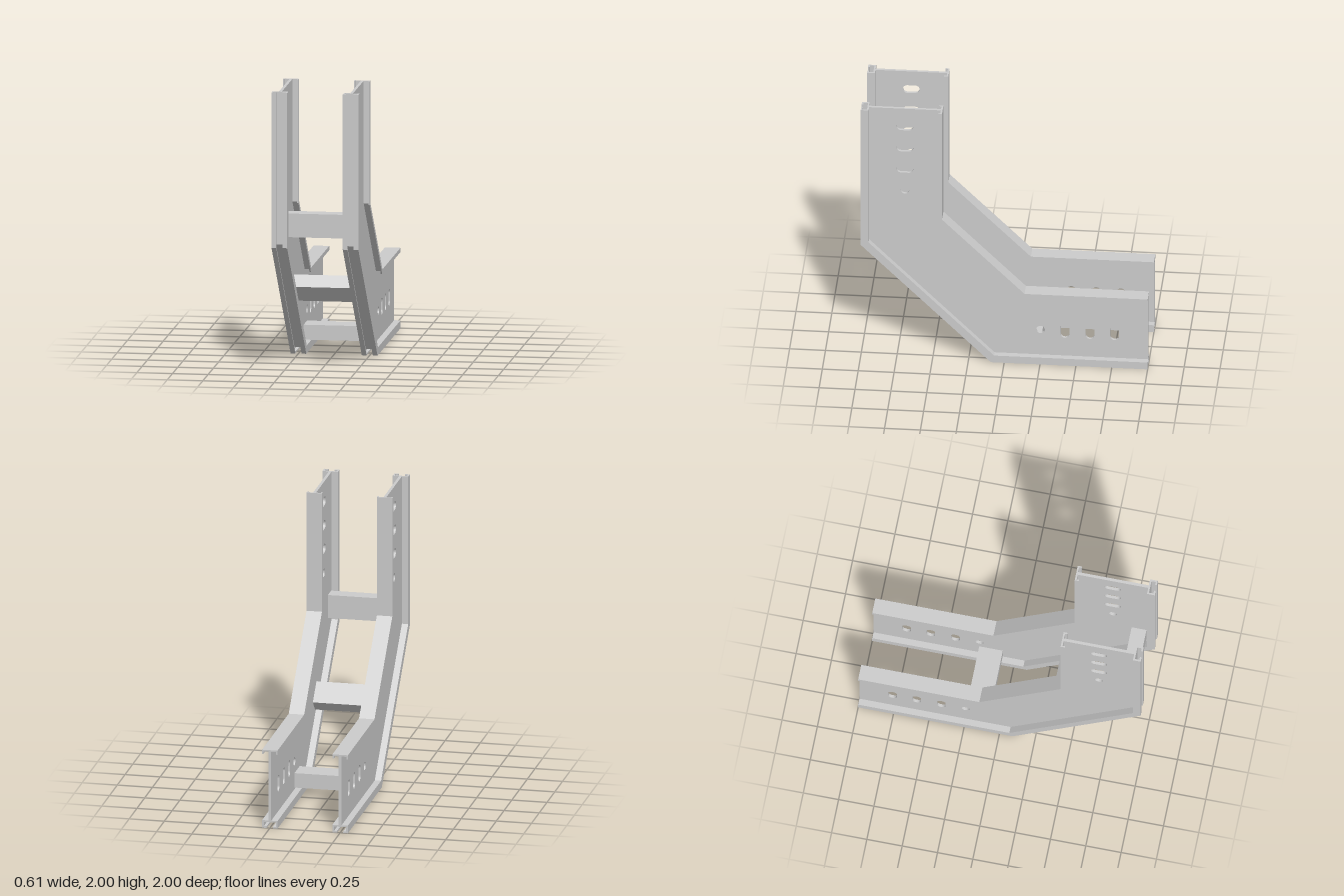
import * as THREE from 'three';

const H = 0.567; // rail depth, measured from the outer edge of the bend
// Mitre stations along the bend: outer [z, y] and inner [z, y]
const STATIONS = [
  [[1, 2], [0.433, 2]],
  [[1, 0.905], [0.433, 1.14]],
  [[0.093, 0], [-0.142, H]],
  [[-1, 0], [-1, H]],
];
const at = (i, d) => STATIONS[i][0].map((v, k) => v + (STATIONS[i][1][k] - v) * d / H);

const material = new THREE.MeshStandardMaterial({ color: 0xcccccc, flatShading: true });

function add(parent, geometry, name) {
  const mesh = new THREE.Mesh(geometry, material);
  mesh.name = name;
  parent.add(mesh);
  return mesh;
}

// Sweep a closed counter-clockwise section of [x, depth] points round the mitred bend
function sweep(section) {
  const pos = [];
  const put = (i, p) => {
    const [z, y] = at(i, p[1]);
    pos.push(p[0], y, z);
  };
  for (let i = 0; i < STATIONS.length - 1; i++) {
    section.forEach((a, k) => {
      const b = section[(k + 1) % section.length];
      put(i, a); put(i + 1, a); put(i, b);
      put(i, b); put(i + 1, a); put(i + 1, b);
    });
  }
  const pts = section.map(p => new THREE.Vector2(...p));
  for (const [a, b, c] of THREE.ShapeUtils.triangulateShape(pts, [])) {
    [a, b, c].forEach(k => put(0, section[k]));
    [a, c, b].forEach(k => put(STATIONS.length - 1, section[k]));
  }
  const g = new THREE.BufferGeometry();
  g.setAttribute('position', new THREE.Float32BufferAttribute(pos, 3));
  g.computeVertexNormals();
  return g;
}

// Rounded slot (round when len = 0) centred on z, y
function slot(z, y, r, len, vertical) {
  const path = new THREE.Path();
  const h = len / 2, q = Math.PI / 2;
  if (len === 0) path.absarc(-z, y, r, 0, Math.PI * 2);
  else if (vertical) {
    path.absarc(-z, y + h, r, 0, 2 * q);
    path.absarc(-z, y - h, r, 2 * q, 4 * q);
  } else {
    path.absarc(-z + h, y, r, -q, q);
    path.absarc(-z - h, y, r, q, 3 * q);
  }
  return path;
}

// Upright plate with joint holes at both ends
function webGeometry() {
  const outline = [0, 1, 2, 3].map(i => at(i, 0.046))
    .concat([3, 2, 1, 0].map(i => at(i, H - 0.006)));
  const shape = new THREE.Shape(outline.map(([z, y]) => new THREE.Vector2(-z, y)));
  shape.holes.push(slot(-0.25, 0.257, 0.03, 0), slot(0.695, 1.34, 0.03, 0));
  for (const z of [-0.42, -0.594, -0.766]) shape.holes.push(slot(z, 0.257, 0.031, 0.055, true));
  for (const y of [1.512, 1.684, 1.856]) shape.holes.push(slot(0.695, y, 0.031, 0.055, false));
  const t = 0.02;
  const g = new THREE.ExtrudeGeometry(shape, { depth: t, bevelEnabled: false, curveSegments: 10 });
  return g.translate(0, 0, -t / 2).rotateY(Math.PI / 2);
}

export function createModel() {
  const model = new THREE.Group();
  model.name = 'ladderBend';

  // Outer flange: slotted channel with in-turned lips
  const channel = sweep([
    [-0.055, 0], [-0.022, 0], [-0.022, 0.012], [-0.043, 0.012], [-0.043, 0.043], [0.043, 0.043],
    [0.043, 0.012], [0.022, 0.012], [0.022, 0], [0.055, 0], [0.055, 0.055], [-0.055, 0.055],
  ]);
  // Inner flange: plate with two short lips
  const cap = sweep([
    [-0.055, H - 0.03], [-0.045, H - 0.03], [-0.045, H - 0.012], [0.045, H - 0.012],
    [0.045, H - 0.03], [0.055, H - 0.03], [0.055, H], [-0.055, H],
  ]);
  const web = webGeometry();

  for (const side of [1, -1]) {
    const rail = new THREE.Group();
    rail.name = side > 0 ? 'leftRail' : 'rightRail';
    rail.position.x = side * 0.25;
    add(rail, web, 'web');
    add(rail, channel, 'outerFlange');
    add(rail, cap, 'innerFlange');
    model.add(rail);
  }

  // Rungs between the webs: [name, y, z, tilt]
  const rungGeometry = new THREE.BoxGeometry(0.48, 0.105, 0.167);
  for (const [name, y, z, tilt] of [
    ['lowerRung', 0.12, -0.168, 0],
    ['middleRung', 0.528, 0.437, -Math.PI / 4],
    ['upperRung', 1.055, 0.88, -Math.PI / 2],
  ]) {
    const rung = add(model, rungGeometry, name);
    rung.position.set(0, y, z);
    rung.rotation.x = tilt;
  }
  return model;
}
